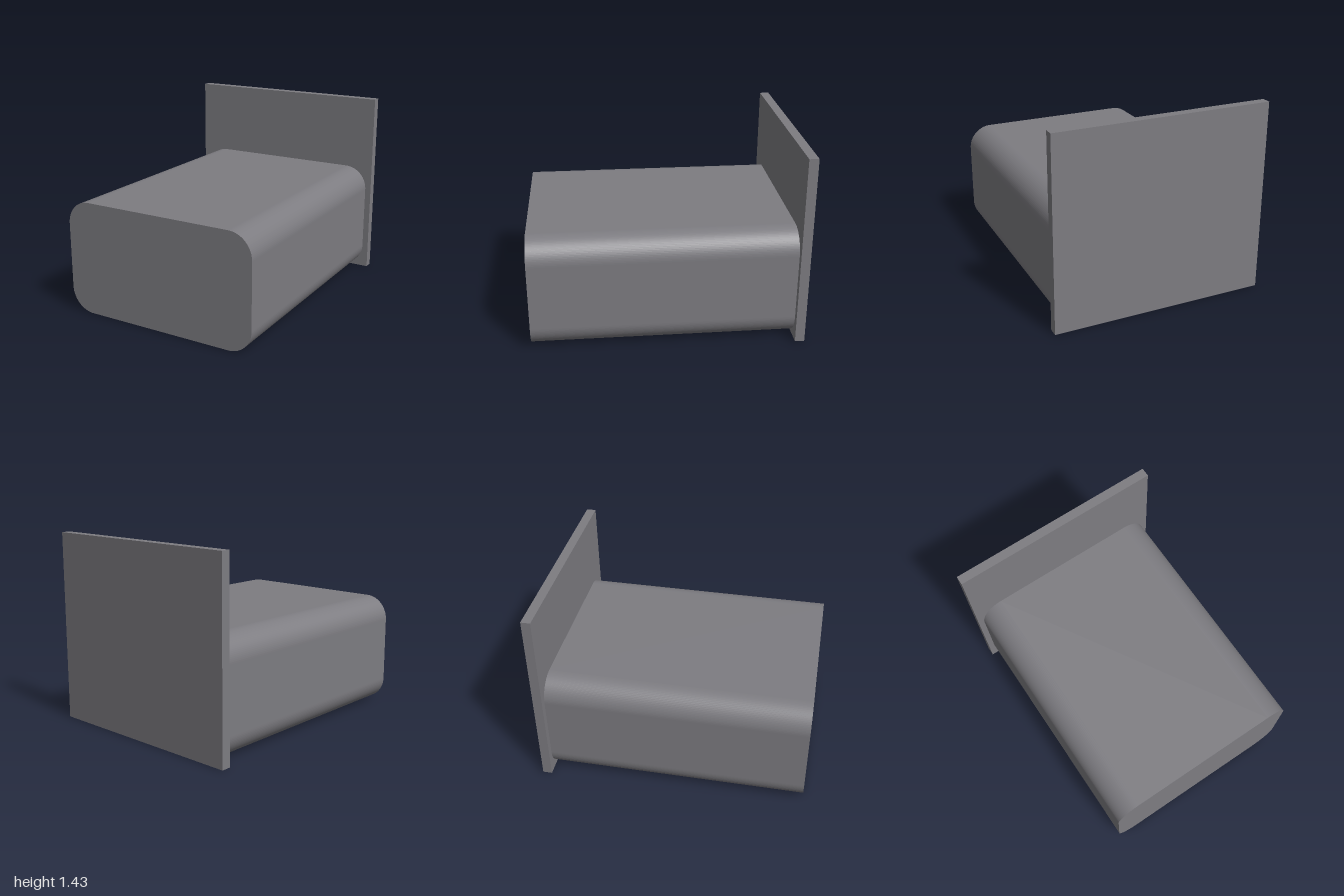
import * as THREE from 'three';

const BACK = -1, FRONT = 1, PLATE = 0.07;

// Rounded rectangle centred on x, standing on y = 0
function roundedOutline(w, h, r) {
  const s = new THREE.Shape();
  const x = w / 2 - r;
  s.absarc(x, r, r, -Math.PI / 2, 0);
  s.absarc(x, h - r, r, 0, Math.PI / 2);
  s.absarc(-x, h - r, r, Math.PI / 2, Math.PI);
  s.absarc(-x, r, r, Math.PI, Math.PI * 1.5);
  s.closePath();
  return s;
}

export function createModel() {
  const model = new THREE.Group();
  model.name = 'blockWithBackPlate';
  const grey = new THREE.MeshStandardMaterial({ color: 0x7d7c81 });
  grey.name = 'grey';

  // Long block with rounded lengthwise edges
  const blockGeometry = new THREE.ExtrudeGeometry(roundedOutline(1.52, 0.854, 0.18), {
    depth: FRONT - BACK - PLATE, bevelEnabled: false, curveSegments: 12,
  });
  const block = new THREE.Mesh(blockGeometry, grey);
  block.name = 'roundedBlock';
  block.position.set(0, 0.003, BACK + PLATE);

  // Upright plate closing the back
  const plate = new THREE.Mesh(new THREE.BoxGeometry(1.612, 1.43, PLATE), grey);
  plate.name = 'backPlate';
  plate.position.set(0, 0.715, BACK + PLATE / 2);

  model.add(block, plate);
  return model;
}
